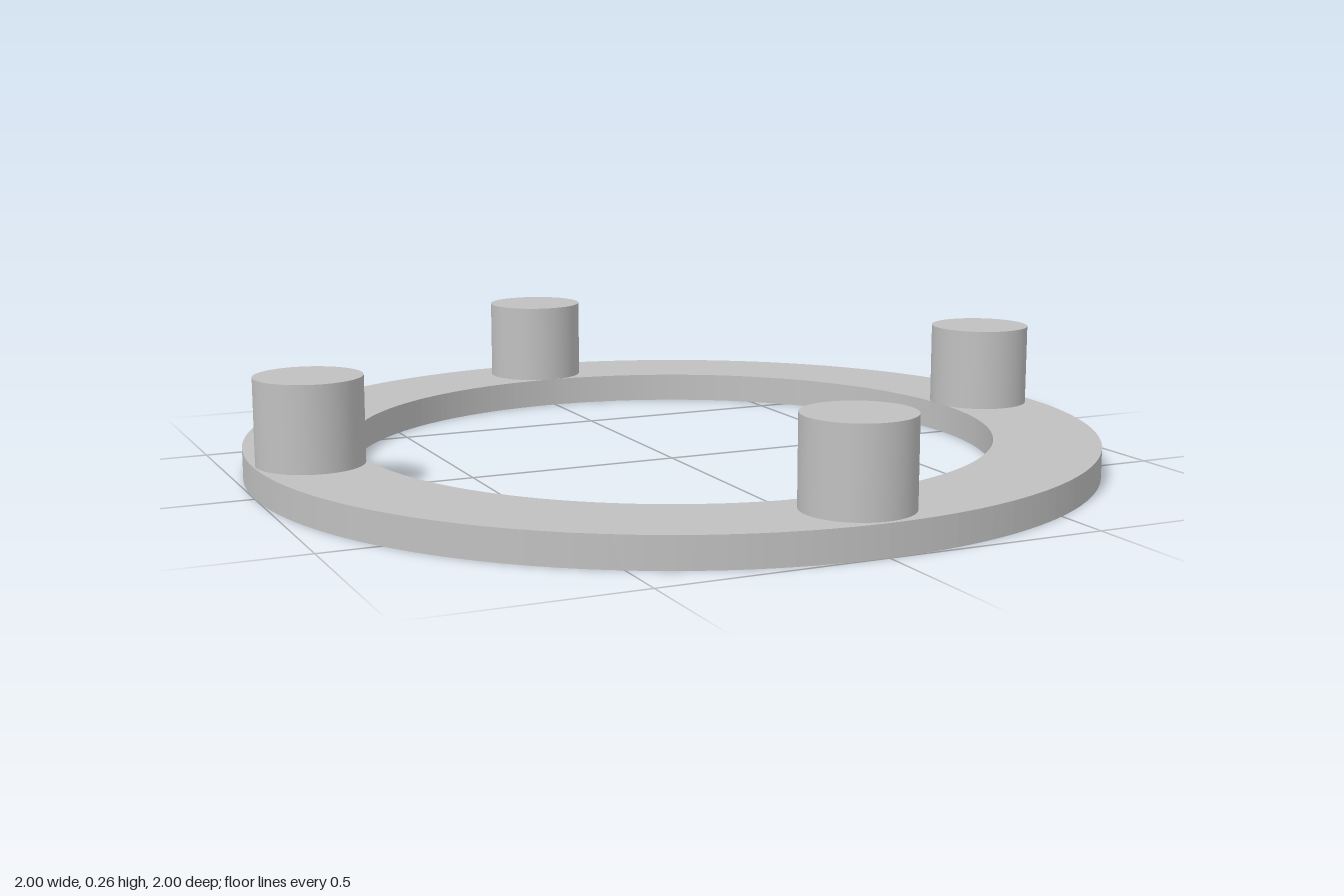
import * as THREE from 'three';

const RING_HEIGHT = 0.07;
const PEG_HEIGHT = 0.195;

export function createModel() {
  const model = new THREE.Group();
  model.name = 'peggedRing';
  const grey = new THREE.MeshStandardMaterial({ color: 0xc0c0c0 });
  grey.name = 'grey';

  // Flat ring: an annulus extruded upwards
  const outline = new THREE.Shape().absarc(0, 0, 1, 0, Math.PI * 2, false);
  outline.holes.push(new THREE.Path().absarc(0, 0, 0.754, 0, Math.PI * 2, true));
  const ringGeometry = new THREE.ExtrudeGeometry(outline, {
    depth: RING_HEIGHT, bevelEnabled: false, curveSegments: 96,
  });
  ringGeometry.rotateX(-Math.PI / 2);
  const ring = new THREE.Mesh(ringGeometry, grey);
  ring.name = 'ring';
  model.add(ring);

  // Four round pegs standing on the ring, turned very slightly off the axes
  const pegs = new THREE.Group();
  pegs.name = 'pegs';
  pegs.position.set(-0.004, RING_HEIGHT + PEG_HEIGHT / 2, -0.002);
  pegs.rotation.y = 0.008;
  const pegGeometry = new THREE.CylinderGeometry(0.12, 0.12, PEG_HEIGHT, 64);
  ['leftPeg', 'frontPeg', 'rightPeg', 'backPeg'].forEach((name, i) => {
    const angle = i * Math.PI / 2;
    const peg = new THREE.Mesh(pegGeometry, grey);
    peg.name = name;
    peg.position.set(0.871 * Math.cos(angle), 0, 0.871 * Math.sin(angle));
    pegs.add(peg);
  });
  model.add(pegs);

  return model;
}
